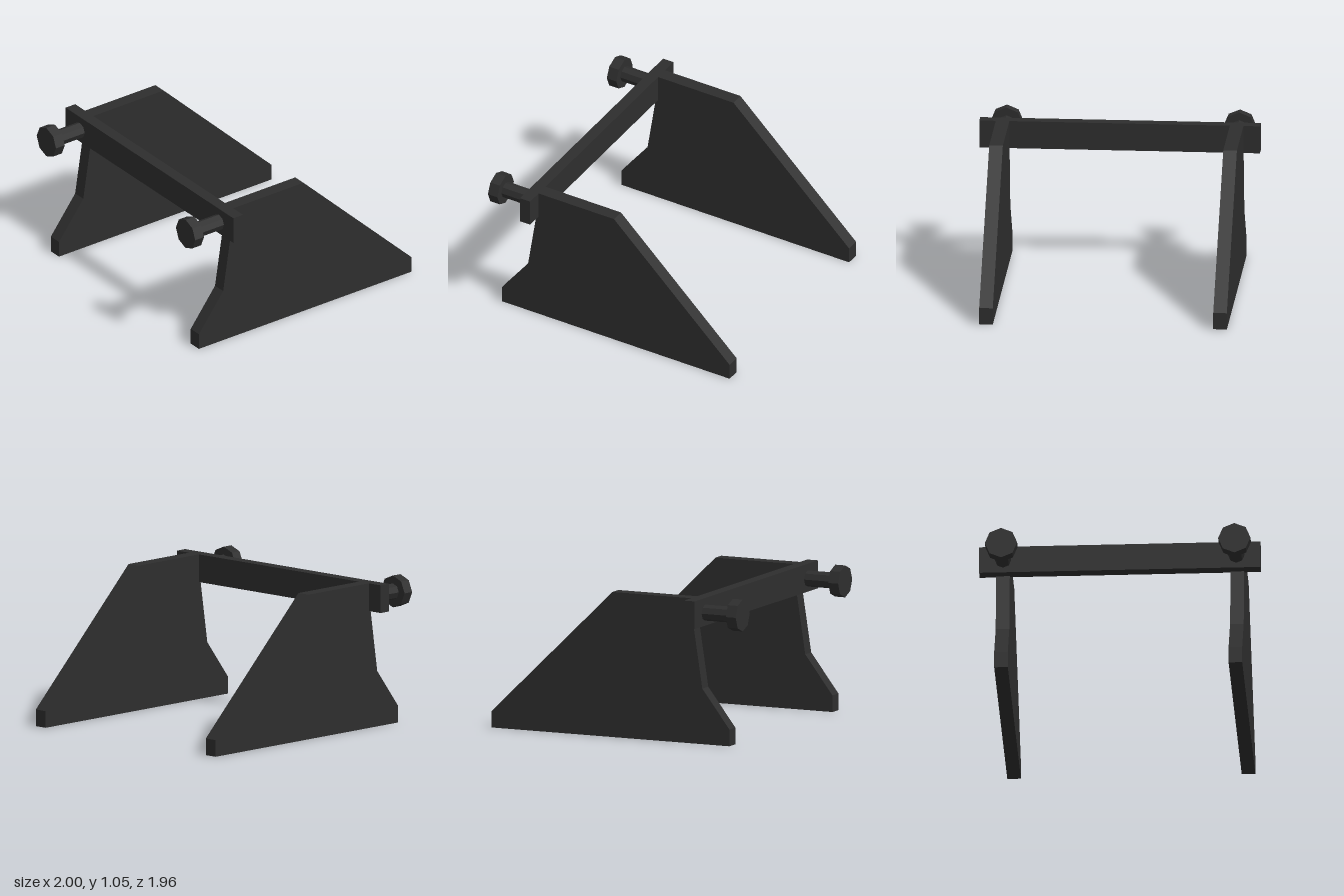
import * as THREE from 'three';

export function createModel() {
  const model = new THREE.Group();
  const steel = new THREE.MeshStandardMaterial({ color: 0x2e2e2e });
  steel.name = 'dark steel';
  steel.flatShading = true;

  const add = (name, geometry, x, y, z) => {
    const mesh = new THREE.Mesh(geometry, steel);
    mesh.name = name;
    mesh.position.set(x, y, z);
    model.add(mesh);
  };

  // Side plate profile, as (z, y) points
  const profile = new THREE.Shape([
    [0.9, 0], [0.9, 0.12], [0.685, 0.4], [0.6, 0.95], [0.6, 1.045],
    [-0.025, 1.045], [-0.98, 0.12], [-0.98, 0],
  ].map(([z, y]) => new THREE.Vector2(z, y)));
  const thickness = 0.097;
  const plate = new THREE.ExtrudeGeometry(profile, { depth: thickness, bevelEnabled: false });
  plate.translate(0, 0, -thickness / 2);
  plate.rotateY(-Math.PI / 2);

  // Eight-sided buffer parts, pointing forward
  const rod = new THREE.CylinderGeometry(0.058, 0.058, 0.225, 8).rotateX(Math.PI / 2);
  const head = new THREE.CylinderGeometry(0.115, 0.115, 0.078, 8).rotateX(Math.PI / 2);

  for (const [side, s] of [['left', 1], ['right', -1]]) {
    add(side + 'SidePlate', plate, s * 0.834, 0, 0);
    add(side + 'BufferRod', rod, s * 0.83, 0.94, 0.79);
    add(side + 'BufferHead', head, s * 0.83, 0.94, 0.94);
  }

  // Cross beam joining the plates
  add('crossBeam', new THREE.BoxGeometry(2, 0.2, 0.085), 0, 0.945, 0.64);

  return model;
}
